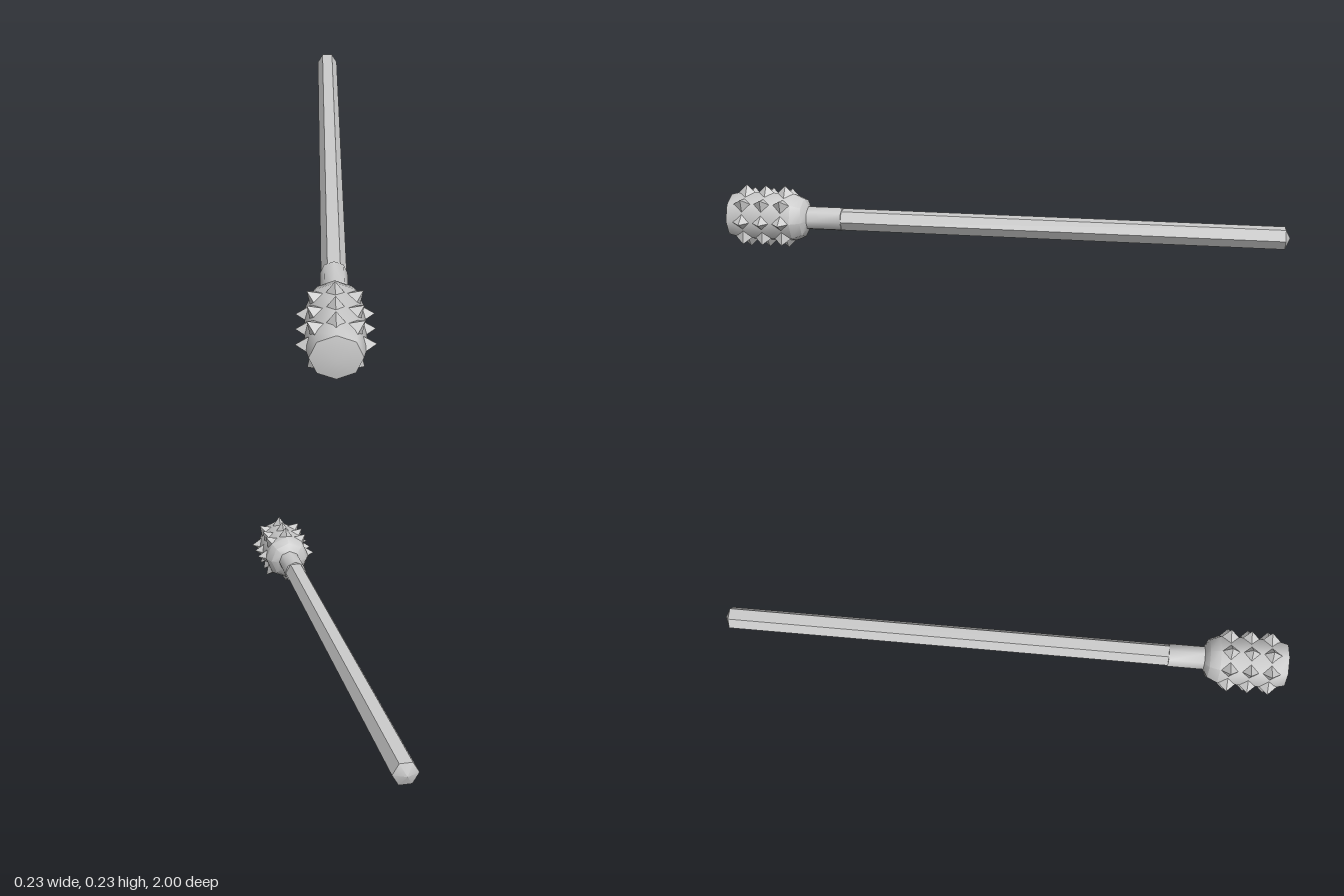
import * as THREE from 'three';
import { toCreasedNormals } from 'three/addons/utils/BufferGeometryUtils.js';

const AXIS_Y = 0.117;

export function createModel() {
  const group = new THREE.Group();
  const material = new THREE.MeshStandardMaterial({ color: 0xcccccc });

  // Faceted solid of revolution lying along z; profile is [radius, z] from back to front
  const turned = (name, profile, sides, start) => {
    const points = profile.map(([r, z]) => new THREE.Vector2(r, z));
    const geo = new THREE.LatheGeometry(points, sides, start).rotateX(Math.PI / 2);
    const mesh = new THREE.Mesh(toCreasedNormals(geo, 0.82), material);
    mesh.name = name;
    mesh.position.y = AXIS_Y;
    group.add(mesh);
  };

  // Hexagonal shaft with a blunt point at the back
  turned('shaft', [[0, -1], [0.04, -0.982], [0.04, 0.6], [0, 0.6]], 6, Math.PI / 2);

  // Octagonal head flowing back into the collar
  turned('headAndCollar', [
    [0, 0.575], [0.043, 0.575], [0.043, 0.7], [0.072, 0.715], [0.088, 0.75],
    [0.09, 0.85], [0.088, 0.945], [0.078, 0.985], [0, 1],
  ], 8, 0);

  // Three rings of eight four-sided spikes
  const spikeGeo = new THREE.ConeGeometry(0.035, 0.051, 4, 1)
    .scale(1, 1, 1.5)
    .translate(0, 0.0915, 0)
    .toNonIndexed();
  spikeGeo.computeVertexNormals();
  const spikes = new THREE.Group();
  spikes.name = 'spikes';
  for (const z of [0.783, 0.854, 0.925]) {
    for (let i = 0; i < 8; i++) {
      const spike = new THREE.Mesh(spikeGeo, material);
      spike.name = 'spike';
      spike.position.set(0, AXIS_Y, z);
      spike.rotation.z = (i * Math.PI) / 4;
      spikes.add(spike);
    }
  }
  group.add(spikes);

  return group;
}
